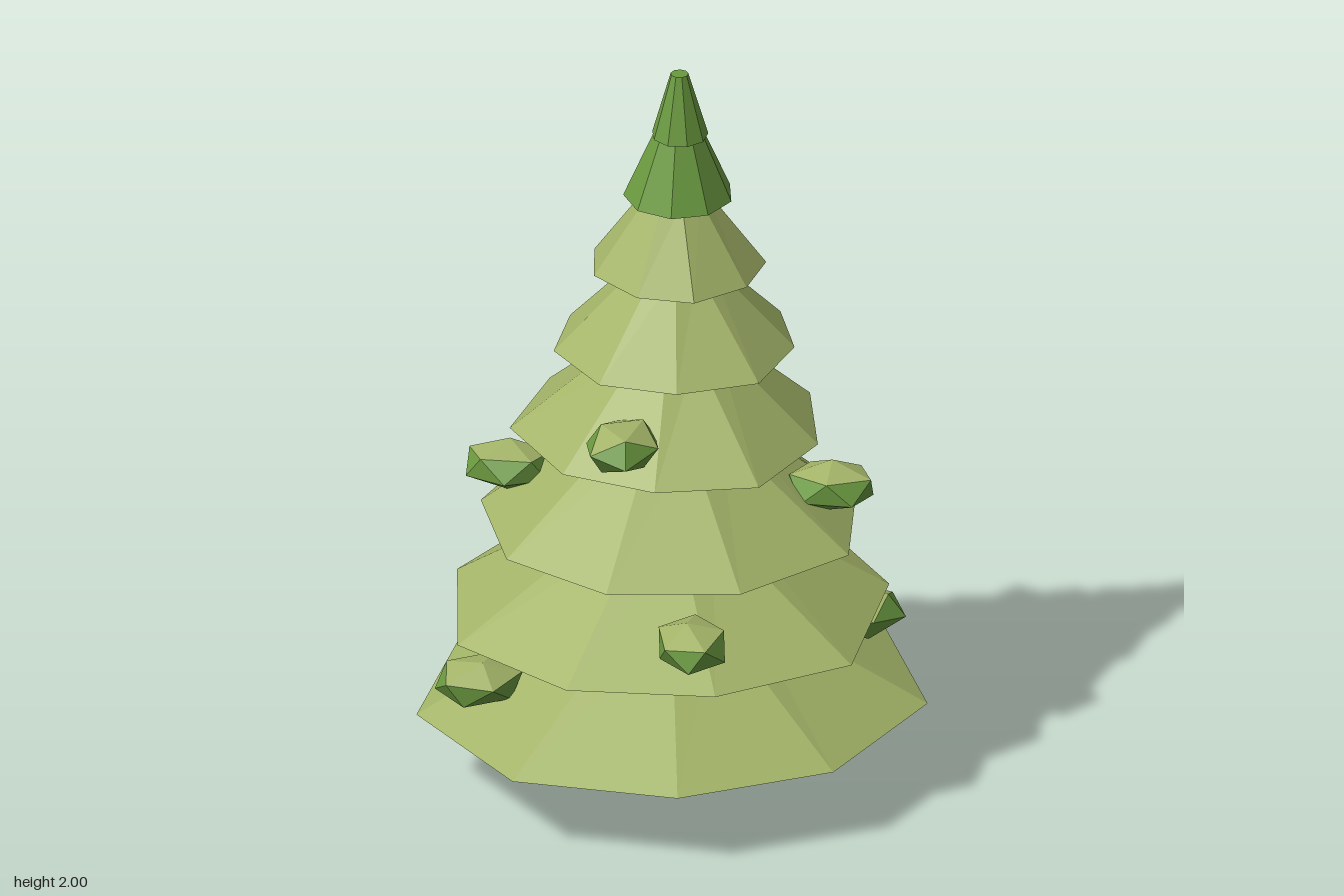
import * as THREE from 'three';

const mat = (color) => new THREE.MeshStandardMaterial({ color, flatShading: true });
const LIGHT = mat(0xa3b468), GREEN = mat(0x6b9a40), DARK = mat(0x3a5227), BARK = mat(0x6b4a30);

// Mesh from a list of triangles (arrays of three Vector3)
function facetMesh(triangles, material, name) {
  const geo = new THREE.BufferGeometry().setFromPoints(triangles.flat());
  geo.computeVertexNormals();
  const mesh = new THREE.Mesh(geo, material);
  mesh.name = name;
  return mesh;
}

// One branch tier: an uneven ring of rim points [x, z] narrowing to a small regular collar
function tier(rim, y0, y1, topR, cx, cz, material, name) {
  const group = new THREE.Group();
  group.name = name;
  const low = rim.map(([x, z]) => new THREE.Vector3(x, y0, z));
  const high = rim.map(([x, z]) => {
    const a = Math.atan2(z - cz, x - cx);
    return new THREE.Vector3(cx + topR * Math.cos(a), y1, cz + topR * Math.sin(a));
  });
  const base = new THREE.Vector3(cx, y0, cz), cap = new THREE.Vector3(cx, y1, cz);
  const skirt = [], under = [];
  low.forEach((p, i) => {
    const j = (i + 1) % low.length;
    skirt.push([p, high[i], low[j]], [low[j], high[i], high[j]], [cap, high[j], high[i]]);
    under.push([base, p, low[j]]);
  });
  group.add(facetMesh(skirt, material, 'skirt'), facetMesh(under, DARK, 'underside'));
  return group;
}

// Regular nine-sided rim for the two small crown tiers
const ring = (r, cx, cz, turn) => Array.from({ length: 9 }, (_, i) => {
  const a = turn + (i / 9) * Math.PI * 2;
  return [cx + r * Math.cos(a), cz + r * Math.sin(a)];
});

// Flattened foliage tuft, pale on its upper facets, pointing away from the trunk
function tuft(x, y, z, index) {
  const group = new THREE.Group();
  group.name = 'foliageTuft' + (index + 1);
  const geo = new THREE.IcosahedronGeometry(1, 0);
  geo.rotateX(0.35 + index * 0.4);
  geo.scale(0.125, 0.064, 0.1);
  const p = geo.attributes.position, pale = [], deep = [];
  for (let i = 0; i < p.count; i += 3) {
    const t = [0, 1, 2].map((k) => new THREE.Vector3().fromBufferAttribute(p, i + k));
    const n = new THREE.Triangle(...t).getNormal(new THREE.Vector3());
    (n.y > 0.7 ? pale : deep).push(t);
  }
  group.add(facetMesh(pale, LIGHT, 'tuftTop'), facetMesh(deep, GREEN, 'tuftSides'));
  group.position.set(x, y, z);
  group.rotation.y = Math.atan2(-z, x);
  return group;
}

export function createModel() {
  const tree = new THREE.Group();
  tree.name = 'pineTree';

  // Trunk
  const trunk = new THREE.Mesh(new THREE.CylinderGeometry(0.107, 0.116, 0.23, 7), BARK);
  trunk.geometry.rotateY(Math.PI / 7);
  trunk.position.set(-0.01, 0.115, 0.01);
  trunk.name = 'trunk';
  tree.add(trunk);

  // Broad tiers: rim points run clockwise seen from above, starting at the back
  const tiers = [
    { y: [0.21, 0.48], r: 0.18, c: [0, 0], rim: [[0.06, -0.61], [0.44, -0.4], [0.64, -0.03], [0.54, 0.39], [0.15, 0.61], [-0.27, 0.55], [-0.6, 0.27], [-0.645, -0.17], [-0.35, -0.49]] },
    { y: [0.465, 0.735], r: 0.15, c: [-0.01, 0], rim: [[-0.04, -0.565], [0.32, -0.43], [0.535, -0.11], [0.535, 0.19], [0.24, 0.54], [-0.15, 0.53], [-0.47, 0.32], [-0.6, -0.03], [-0.405, -0.4]] },
    { y: [0.72, 0.995], r: 0.145, c: [-0.01, 0.01], rim: [[-0.12, -0.47], [0.22, -0.42], [0.43, -0.16], [0.465, 0.14], [0.29, 0.43], [-0.055, 0.49], [-0.36, 0.33], [-0.495, 0.04], [-0.4, -0.28]] },
    { y: [0.98, 1.235], r: 0.115, c: [0, 0.015], rim: [[-0.16, -0.355], [0.126, -0.386], [0.33, -0.235], [0.39, 0.03], [0.275, 0.29], [0.03, 0.43], [-0.22, 0.33], [-0.38, 0.13], [-0.38, -0.16]] },
    { y: [1.225, 1.46], r: 0.085, c: [0.005, 0.02], rim: [[0.04, -0.3], [0.25, -0.21], [0.315, 0.01], [0.255, 0.2], [0.08, 0.335], [-0.135, 0.29], [-0.285, 0.15], [-0.3, -0.07], [-0.17, -0.225]] },
    { y: [1.45, 1.66], r: 0.075, c: [0.005, 0.025], rim: [[0, -0.205], [0.155, -0.165], [0.225, -0.035], [0.21, 0.13], [0.1, 0.23], [-0.06, 0.245], [-0.175, 0.15], [-0.215, -0.01], [-0.145, -0.14]] },
  ];
  tiers.forEach((t, i) => tree.add(tier(t.rim, ...t.y, t.r, ...t.c, LIGHT, 'branchTier' + (i + 1))));

  // Darker crown
  tree.add(tier(ring(0.142, 0.01, 0.028, 0.1), 1.65, 1.84, 0.06, 0.01, 0.03, GREEN, 'lowerCrown'));
  tree.add(tier(ring(0.073, 0.01, 0.035, 0.4), 1.825, 2, 0.023, 0.01, 0.033, GREEN, 'upperCrown'));

  // Tufts in opposite pairs, winding up the tree
  [
    [0.515, 0.335, 0.07], [-0.525, 0.335, -0.055],
    [-0.17, 0.58, 0.44], [0.17, 0.58, -0.41],
    [0.335, 0.83, 0.25], [-0.34, 0.83, -0.24],
    [-0.26, 1.08, 0.23], [0.275, 1.08, -0.19],
  ].forEach((p, i) => tree.add(tuft(...p, i)));

  return tree;
}
